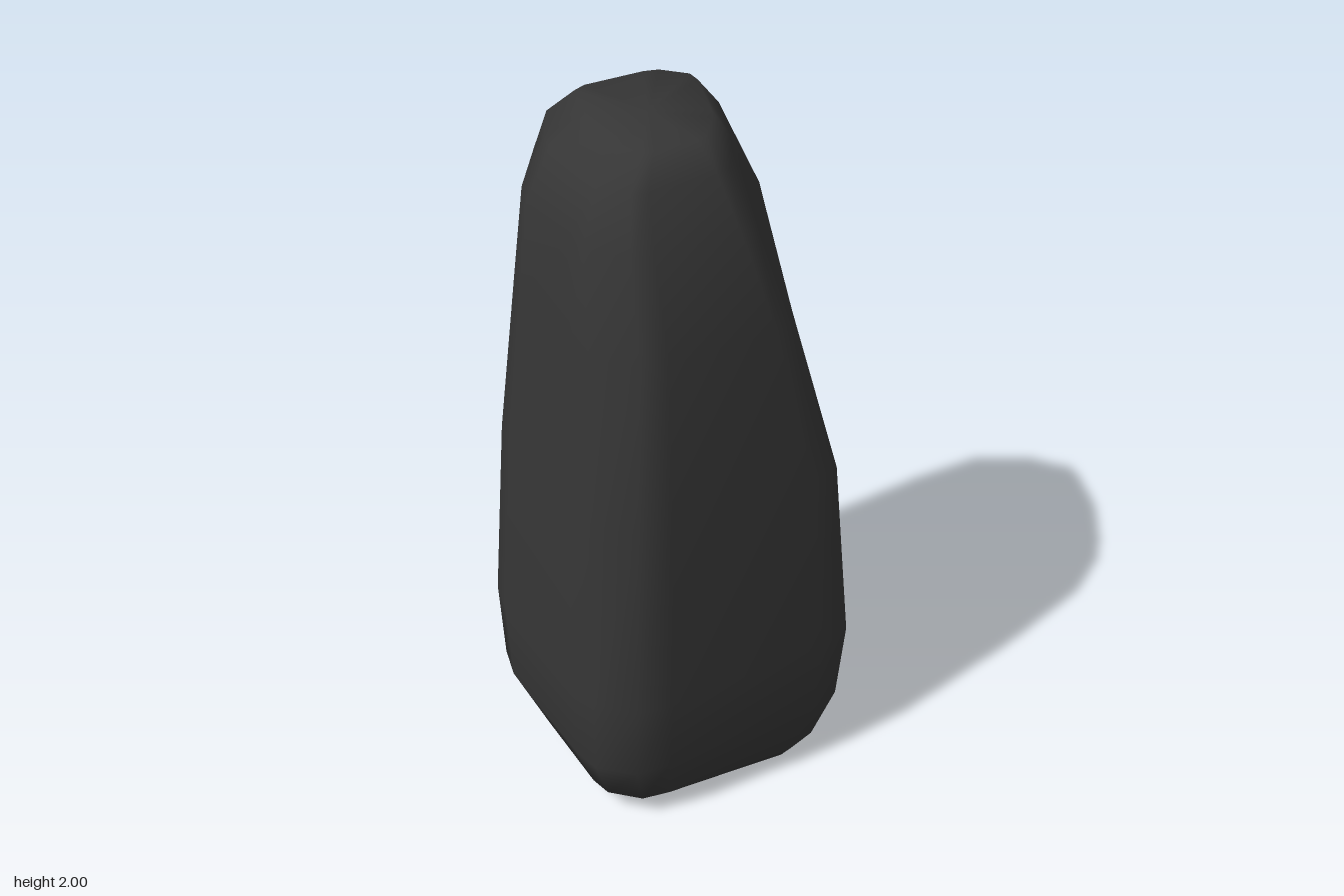
import * as THREE from 'three';

// Height, then eight plan corners (x, z), counterclockwise from the front at -x
const LEVELS = [
  [0.07, -.38, .31, -.28, .405, .25, .415, .385, .19, .385, -.18, .22, -.33, -.13, -.33, -.38, -.08],
  [0.20, -.43, .33, -.31, .435, .33, .42, .42, .19, .415, -.24, .28, -.43, -.24, -.44, -.44, -.20],
  [0.43, -.43, .32, -.31, .45, .355, .425, .445, .18, .42, -.28, .29, -.445, -.25, -.445, -.445, -.23],
  [1.00, -.41, .27, -.29, .42, .31, .40, .375, .22, .405, -.26, .27, -.415, -.24, -.415, -.415, -.21],
  [1.50, -.38, .235, -.26, .385, .17, .38, .25, .19, .31, -.20, .19, -.375, -.21, -.38, -.38, -.16],
  [1.78, -.36, .18, -.25, .315, .08, .32, .20, .15, .27, -.11, .12, -.355, -.20, -.36, -.36, -.13],
  [1.92, -.295, .14, -.22, .25, .04, .25, .13, .11, .215, -.12, .09, -.28, -.20, -.285, -.29, -.12],
  [2.00, -.21, .13, -.17, .20, .00, .20, .08, .10, .15, -.12, .07, -.20, -.16, -.205, -.20, -.09],
];

// Turn a level into a ring with each corner cut into two softer ones
function softRing([y, ...c]) {
  const corner = (i) => new THREE.Vector3(c[(i % 8) * 2], y, c[(i % 8) * 2 + 1]);
  const ring = [];
  for (let i = 0; i < 8; i++) {
    ring.push(corner(i).lerp(corner(i + 1), 0.13), corner(i).lerp(corner(i + 1), 0.87));
  }
  return ring;
}

// Join rings with quads and close both ends with a fan
function loft(rings) {
  const n = rings[0].length;
  const points = rings.flat();
  const index = [];
  for (let r = 0; r < rings.length - 1; r++) {
    for (let j = 0; j < n; j++) {
      const a = r * n + j, b = r * n + (j + 1) % n;
      index.push(a, b, b + n, a, b + n, a + n);
    }
  }
  const middle = (ring) => ring.reduce((s, p) => s.add(p), new THREE.Vector3()).divideScalar(n);
  const bottom = points.length, top = bottom + 1, last = (rings.length - 1) * n;
  points.push(middle(rings[0]), middle(rings[rings.length - 1]));
  for (let j = 0; j < n; j++) {
    const k = (j + 1) % n;
    index.push(bottom, k, j, top, last + j, last + k);
  }
  const geometry = new THREE.BufferGeometry().setFromPoints(points);
  geometry.setIndex(index);
  geometry.computeVertexNormals();
  return geometry;
}

export function createModel() {
  const group = new THREE.Group();
  group.name = 'standingStone';

  const rings = LEVELS.map(softRing);
  // Underside drawn in from the lowest ring, rising slightly to the back and -x
  rings.unshift(rings[0].map(({ x, z }) =>
    new THREE.Vector3(x * 0.8 + 0.04, 0.018 - x * 0.025 - z * 0.03, z * 0.87)));

  const stone = new THREE.Mesh(loft(rings), new THREE.MeshStandardMaterial({ color: 0x363636 }));
  stone.name = 'stone';
  group.add(stone);
  return group;
}
